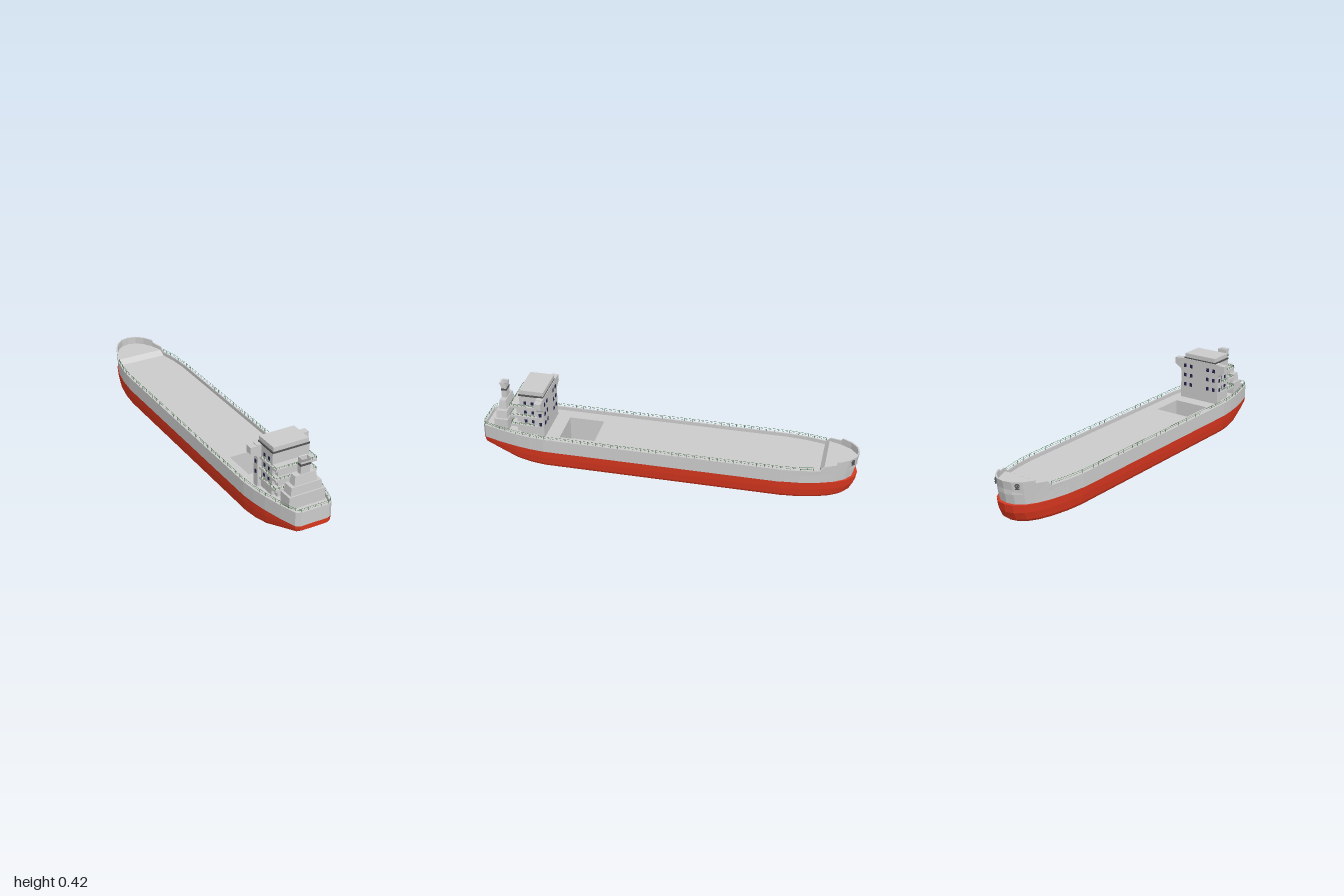
import * as THREE from 'three';
import { mergeGeometries } from 'three/addons/utils/BufferGeometryUtils.js';

const mat = (color) => new THREE.MeshStandardMaterial({ color, flatShading: true, side: THREE.DoubleSide });
const grey = mat(0xcccccc), red = mat(0xd8371f), dark = mat(0x555555), green = mat(0x3f6b3f), glass = mat(0x22224a);

// Half outline of the sheer line, stern to bow: [x, z]
const HALF = [[0, 1], [0.078, 1], [0.1, 0.985], [0.127, 0.9], [0.152, 0.8], [0.166, 0.72], [0.174, 0.64], [0.174, -0.62],
  [0.165, -0.72], [0.145, -0.82], [0.139, -0.84], [0.118, -0.9], [0.115, -0.907], [0.085, -0.957], [0.045, -0.99], [0, -1]];
const OUTLINE = [...HALF, ...HALF.slice(1, -1).reverse().map(([x, z]) => [-x, z])];

const DECK = 0.155, RIM = 0.175, FORE = 0.182;

// Linear interpolation in a short table of [position, value]
function lookup(table, t) {
  for (let i = 1; i < table.length; i++) {
    const [a, va] = table[i - 1], [b, vb] = table[i];
    if (t <= b) return va + (vb - va) * Math.max(0, (t - a) / (b - a));
  }
  return table[table.length - 1][1];
}
const rimY = (z) => lookup([[-1, 0.222], [-0.907, 0.22], [-0.9, 0.206], [-0.84, 0.2], [-0.82, RIM]], z);
const keelY = (z) => lookup([[0.64, 0], [0.72, 0.004], [0.8, 0.015], [0.9, 0.045], [0.985, 0.066], [1, 0.075]], z);

// Skin between rows of points
function loft(rows, closed = true) {
  const n = rows[0].length, index = [];
  for (let j = 0; j < rows.length - 1; j++)
    for (let i = 0; i < (closed ? n : n - 1); i++) {
      const a = j * n + i, b = j * n + (i + 1) % n, c = a + n, d = b + n;
      index.push(a, c, b, b, c, d);
    }
  const g = new THREE.BufferGeometry();
  g.setAttribute('position', new THREE.Float32BufferAttribute(rows.flat(2), 3));
  g.setIndex(index);
  const flat = g.toNonIndexed();
  flat.computeVertexNormals();
  return flat;
}

// Bow is pulled in by factor k, ahead of z = -0.6
const bow = (z, k) => (z < -0.6 ? -0.6 + (z + 0.6) * k : z);
const inner = ([x, z]) => [x * 0.953, z * 0.992];

// Horizontal plate from [x, z] points, with optional holes
function plate(points, y, holes = []) {
  const vec = (p) => new THREE.Vector2(p[0], -p[1]);
  const shape = new THREE.Shape(points.map(vec));
  holes.forEach((h) => shape.holes.push(new THREE.Path(h.map(vec))));
  return new THREE.ShapeGeometry(shape).rotateX(-Math.PI / 2).translate(0, y, 0);
}

// Box from min and max corners
function box(x0, x1, y0, y1, z0, z1) {
  return new THREE.BoxGeometry(x1 - x0, y1 - y0, z1 - z0).translate((x0 + x1) / 2, (y0 + y1) / 2, (z0 + z1) / 2);
}

// Tapered box ring: rows of [halfX, y, z0, z1] from top to bottom
const tiers = (rows) => loft(rows.map(([x, y, z0, z1]) => [[x, y, z1], [x, y, z0], [-x, y, z0], [-x, y, z1]]));

function bar(a, b, r = 0.0009) {
  const dir = b.clone().sub(a), len = dir.length();
  const q = new THREE.Quaternion().setFromUnitVectors(new THREE.Vector3(0, 1, 0), dir.normalize());
  return new THREE.CylinderGeometry(r, r, len, 4, 1, true).applyQuaternion(q)
    .translate((a.x + b.x) / 2, (a.y + b.y) / 2, (a.z + b.z) / 2);
}

// Railing along [x, z] points: two bars and evenly spaced posts
function railing(points, y, h, step) {
  const parts = [];
  for (let i = 1; i < points.length; i++) {
    const a = new THREE.Vector3(points[i - 1][0], y, points[i - 1][1]);
    const b = new THREE.Vector3(points[i][0], y, points[i][1]);
    const up = (v, t) => v.clone().setY(y + h * t);
    parts.push(bar(up(a, 1), up(b, 1)), bar(up(a, 0.5), up(b, 0.5), 0.0006));
    const n = Math.max(1, Math.round(a.distanceTo(b) / step));
    for (let k = 0; k <= n; k++) {
      const p = a.clone().lerp(b, k / n);
      parts.push(bar(p, up(p, 1)));
    }
  }
  return mergeGeometries(parts);
}

export function createModel() {
  const model = new THREE.Group();
  const add = (name, geometry, material = grey, parent = model) => {
    const m = new THREE.Mesh(geometry, material);
    m.name = name;
    parent.add(m);
    return m;
  };
  const group = (name) => {
    const g = new THREE.Group();
    g.name = name;
    model.add(g);
    return g;
  };

  // Lower hull: [width factor, bow factor, height share]
  const levels = [[0.97, 0.93, 1], [1, 0.985, 1], [0.985, 0.97, 0.6], [0.95, 0.92, 0.2], [0.91, 0.88, 0.07], [0.82, 0.83, 0], [0, 0.83, 0]];
  add('lowerHull', loft(levels.map(([w, k, t]) => OUTLINE.map(([x, z]) => {
    const f = keelY(z);
    return [x * w, f + (0.102 - f) * t, bow(z, k)];
  }))), red);

  // Upper hull with bulwark, from the inside over the rim and down
  const inside = OUTLINE.map(inner);
  add('upperHull', loft([
    inside.map(([x, z]) => [x, DECK, z]),
    inside.map(([x, z], i) => [x, rimY(OUTLINE[i][1]), z]),
    OUTLINE.map(([x, z]) => [x, rimY(z), z]),
    OUTLINE.map(([x, z]) => [x, 0.15, bow(z, 0.965)]),
    OUTLINE.map(([x, z]) => [x, 0.1, bow(z, 0.94)]),
  ]));

  // Main deck with open cargo hatch
  const hatch = [[-0.1, 0.38], [0.1, 0.38], [0.1, 0.57], [-0.1, 0.57]];
  add('mainDeck', plate(inside, DECK, [hatch]));
  add('hatchWalls', loft([0.02, DECK].map((y) => hatch.map(([x, z]) => [x, y, z]).reverse())));
  add('hatchFloor', plate(hatch, 0.02));

  // Raised bow deck with sloped step
  add('bowDeck', plate(inside.filter((p) => p[1] < -0.83), FORE));
  add('bowDeckSlope', loft([
    [[-0.132, FORE, -0.833], [0.132, FORE, -0.833]],
    [[-0.139, DECK, -0.81], [0.139, DECK, -0.81]],
  ], false));

  // Anchors on both bows
  for (const s of [-1, 1]) {
    const anchor = group(s > 0 ? 'leftAnchor' : 'rightAnchor');
    add('anchorRing', new THREE.TorusGeometry(0.009, 0.003, 5, 10), dark, anchor);
    add('anchorShank', box(-0.003, 0.003, -0.018, 0.006, -0.003, 0.003), dark, anchor);
    add('anchorFlukes', box(-0.01, 0.01, -0.018, -0.012, -0.003, 0.003), dark, anchor);
    anchor.position.set(s * 0.067, 0.203, -0.973);
    anchor.rotation.y = s * -0.65;
  }

  // Hull railing, round the stern and along both sides
  const side = HALF.slice(1, 10).map(([x, z]) => [x * 0.975, z * 0.996]);
  add('hullRailing', railing([...side.map(([x, z]) => [-x, z]).reverse(), ...side], RIM, 0.018, 0.04), green);

  // Deckhouse: front wall flaring out into bridge wings
  const house = group('deckhouse');
  const right = [[0.122, DECK], [0.122, 0.312], [0.128, 0.325], [0.163, 0.346], [0.163, 0.382], [0.128, 0.382], [0.128, 0.386]];
  const profile = [...right, ...right.map(([x, y]) => [-x, y]).reverse()];
  const wall = new THREE.ExtrudeGeometry(new THREE.Shape(profile.map((p) => new THREE.Vector2(...p))), { depth: 0.036, bevelEnabled: false });
  add('bridgeFront', wall.translate(0, 0, 0.645), grey, house);
  add('houseBlock', box(-0.102, 0.102, DECK, 0.385, 0.67, 0.78), grey, house);
  add('bridgeBand', box(-0.103, 0.103, 0.384, 0.393, 0.648, 0.783), dark, house);
  add('bridgeRoof', box(-0.098, 0.098, 0.393, 0.416, 0.648, 0.78), grey, house);
  add('aftBlock', box(-0.085, 0.085, DECK, 0.315, 0.77, 0.805), grey, house);

  // Aft balconies with railings
  for (const y of [0.213, 0.267, 0.325]) {
    add('balcony', box(-0.114, 0.114, y - 0.013, y, 0.68, 0.832), grey, house);
    add('balconyRailing', railing([[-0.112, 0.7], [-0.112, 0.83], [0.112, 0.83], [0.112, 0.7]], y, 0.011, 0.022), green, house);
  }

  // Windows on the front, sides and back
  const panes = [];
  for (const y of [0.235, 0.29, 0.345]) {
    for (const s of [-1, 1]) {
      for (const x of [0.055, 0.095]) panes.push(box(s * x - 0.008, s * x + 0.008, y - 0.01, y + 0.01, 0.643, 0.65));
      for (const z of [0.71, 0.75]) panes.push(box(s * 0.1 - 0.004, s * 0.1 + 0.004, y - 0.01, y + 0.008, z - 0.007, z + 0.007));
      if (y < 0.3) panes.push(box(s * 0.121 - 0.003, s * 0.121 + 0.003, y - 0.01, y + 0.01, 0.656, 0.67));
    }
  }
  add('windows', mergeGeometries(panes), glass, house);

  // Funnel casing in three tiers, narrowing upward
  const stack = group('funnel');
  add('casing', tiers([
    [0, 0.315, 0.89, 0.89], [0.057, 0.315, 0.874, 0.908], [0.064, 0.266, 0.868, 0.914],
    [0.083, 0.266, 0.862, 0.92], [0.088, 0.222, 0.86, 0.922], [0.1, 0.222, 0.855, 0.93], [0.1, DECK, 0.855, 0.93],
  ]), grey, stack);
  // Hollow funnel pipe with flared lip and dark band
  add('funnelPipe', tiers([
    [0.02, 0.375, 0.883, 0.9], [0.021, 0.398, 0.882, 0.91], [0.026, 0.4, 0.878, 0.916],
    [0.026, 0.38, 0.878, 0.905], [0.026, 0.31, 0.878, 0.905],
  ]), grey, stack);
  add('funnelInside', box(-0.021, 0.021, 0.37, 0.376, 0.88, 0.902), dark, stack);
  add('funnelBand', box(-0.027, 0.027, 0.358, 0.369, 0.877, 0.906), dark, stack);

  return model;
}
